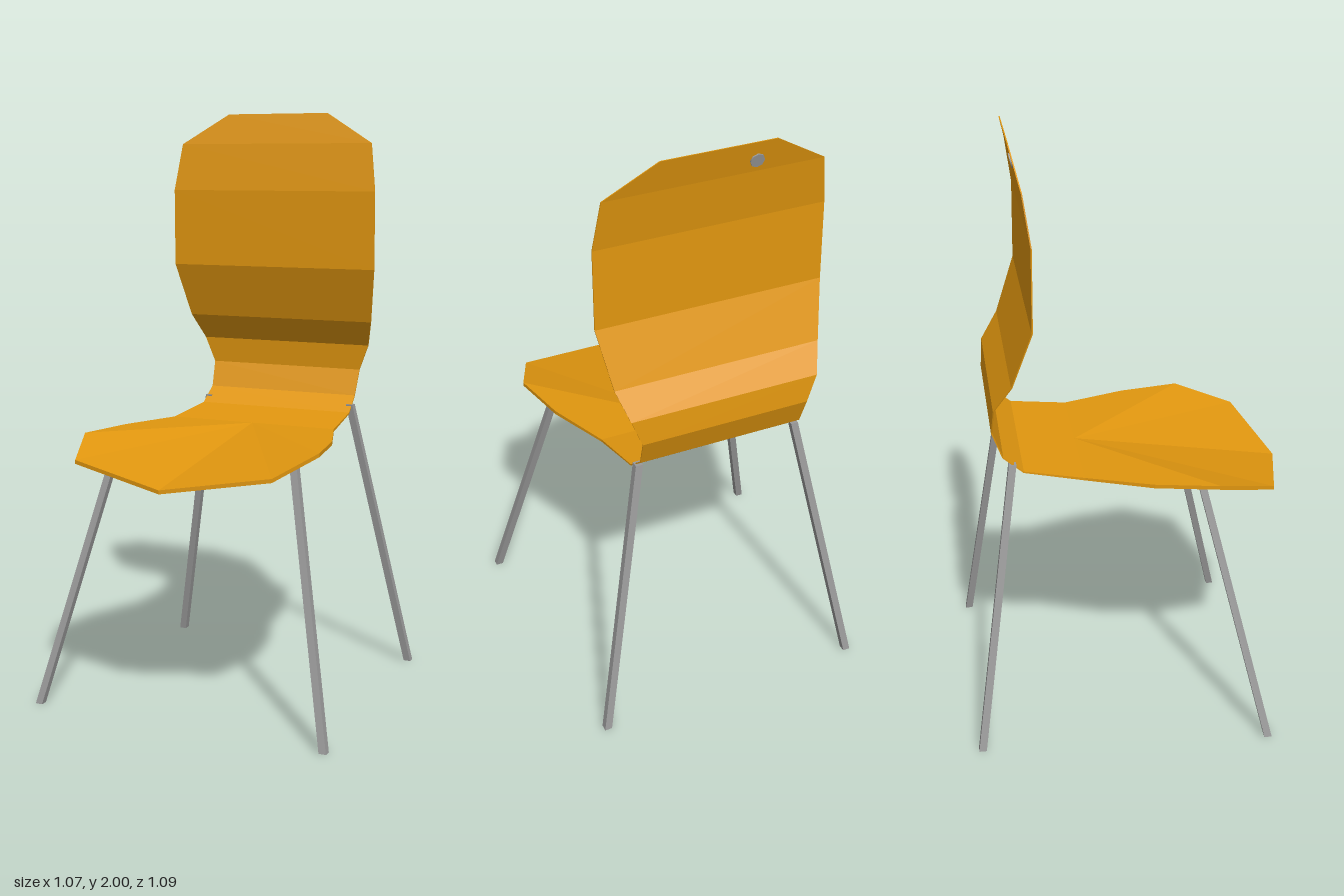
import * as THREE from 'three';

const orange = new THREE.MeshStandardMaterial({ color: 0xe0960f });
orange.name = 'orange shell';
const grey = new THREE.MeshStandardMaterial({ color: 0x9a9a9a });
grey.name = 'grey metal';

// Cross-sections from the top of the back to the middle of the seat:
// half width, y, z, then the y and z offset of the rear skin
const ROWS = [
  [0.19, 2.0, -0.367, 0, -0.004],
  [0.365, 1.895, -0.342, 0, -0.004],
  [0.388, 1.73, -0.319, 0, -0.004],
  [0.388, 1.46, -0.322, 0, -0.004],
  [0.355, 1.27, -0.388, 0, -0.004],
  [0.325, 1.18, -0.446, 0, -0.004],
  [0.29, 1.09, -0.453, 0, -0.004],
  [0.285, 1.0, -0.42, -0.003, -0.003],
  [0.29, 0.947, -0.355, -0.005, -0.001],
  [0.31, 0.92, -0.157, -0.009, 0],
];
// Front half of the seat: x, y, z on the left side, ending at the nose
const SEAT_EDGE = [[0.39, 0.92, 0.06], [0.43, 0.92, 0.27], [0.352, 0.867, 0.465]];
const NOSE = [0, 0.814, 0.545];
const SEAT_OFFSET = [-0.013, 0];

// Flat-faceted shell: front skin, rear skin and the rim between them
function createShell() {
  const point = (x, y, z, oy, oz) => ({
    front: [x, y, z],
    back: [x, y + oy, z + oz],
  });
  const rowSide = (s) => ROWS.map(([w, y, z, oy, oz]) => point(s * w, y, z, oy, oz));
  const edgeSide = (s) => SEAT_EDGE.map(([x, y, z]) => point(s * x, y, z, ...SEAT_OFFSET));
  const right = rowSide(-1), left = rowSide(1);
  const last = ROWS.length - 1;
  const apex = point(0, ...ROWS[last].slice(1));

  const positions = [];
  const triangle = (a, b, c) => positions.push(...a, ...b, ...c);
  const bothSkins = (a, b, c) => {
    triangle(a.front, b.front, c.front);
    triangle(a.back, c.back, b.back);
  };

  // Curved back and rear of the seat
  for (let i = 0; i < last; i++) {
    bothSkins(right[i], right[i + 1], left[i + 1]);
    bothSkins(right[i], left[i + 1], left[i]);
  }
  // Seat facets fanning out to the drooping nose
  const seat = [...edgeSide(-1), point(...NOSE, ...SEAT_OFFSET), ...edgeSide(1).reverse()];
  const fan = [right[last], ...seat, left[last]];
  for (let i = 0; i < fan.length - 1; i++) bothSkins(apex, fan[i], fan[i + 1]);

  // Rim
  const loop = [...right, ...seat, ...left.slice().reverse()];
  loop.forEach((a, i) => {
    const b = loop[(i + 1) % loop.length];
    triangle(a.back, b.back, b.front);
    triangle(a.back, b.front, a.front);
  });

  const geometry = new THREE.BufferGeometry();
  geometry.setAttribute('position', new THREE.Float32BufferAttribute(positions, 3));
  geometry.computeVertexNormals();
  const shell = new THREE.Mesh(geometry, orange);
  shell.name = 'seatShell';
  return shell;
}

// Square bar sheared so that both ends stay level
function createLeg(name, foot, top) {
  const height = top[1] - foot[1];
  const geometry = new THREE.BoxGeometry(0.025, height, 0.025);
  geometry.translate(0, height / 2, 0);
  const shear = new THREE.Matrix4().set(
    1, (top[0] - foot[0]) / height, 0, foot[0],
    0, 1, 0, foot[1],
    0, (top[2] - foot[2]) / height, 1, foot[2],
    0, 0, 0, 1,
  );
  const flat = geometry.applyMatrix4(shear).toNonIndexed();
  flat.computeVertexNormals();
  const leg = new THREE.Mesh(flat, grey);
  leg.name = name;
  return leg;
}

export function createModel() {
  const chair = new THREE.Group();
  chair.name = 'chair';
  chair.add(createShell());

  for (const [side, s] of [['Left', 1], ['Right', -1]]) {
    chair.add(createLeg(`front${side}Leg`, [s * 0.522, 0, 0.438], [s * 0.322, 0.892, 0.225]));
    chair.add(createLeg(`rear${side}Leg`, [s * 0.468, 0, -0.533], [s * 0.28, 0.972, -0.391]));
  }

  // Small stud on the rear of the back
  const stud = new THREE.Mesh(new THREE.CylinderGeometry(0.024, 0.024, 0.006, 8), grey);
  stud.name = 'backStud';
  stud.position.set(-0.13, 1.935, -0.357);
  stud.rotation.x = -Math.PI / 2 - Math.atan2(0.025, 0.105);
  chair.add(stud);

  return chair;
}
